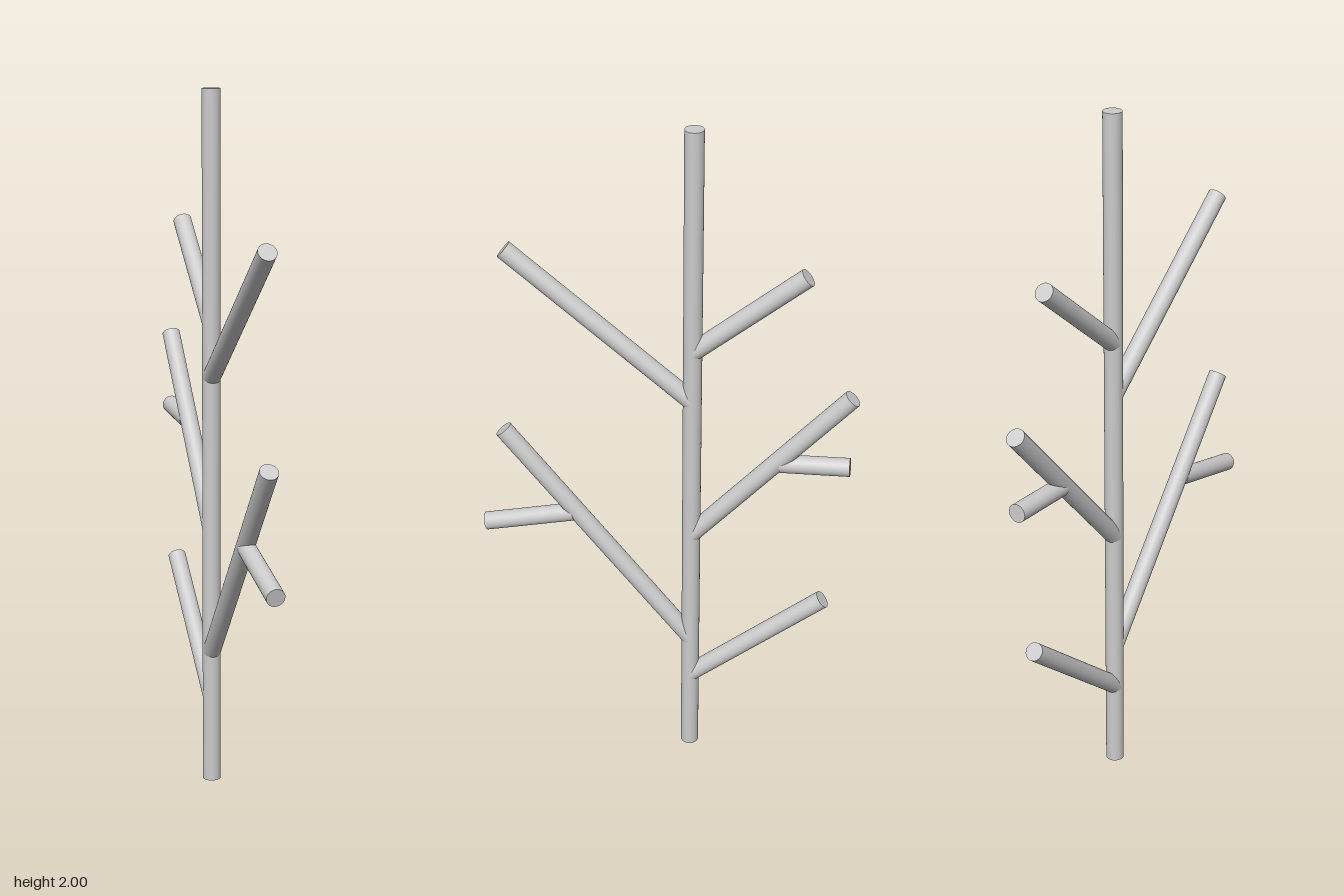
import * as THREE from 'three';

const RADIUS = 0.026;
const TRUNK_Z = -0.073;

// Capped round rod between two [z, y] points in the x = 0 plane
function rod(name, from, to, material) {
  const a = new THREE.Vector3(0, from[1], from[0]);
  const b = new THREE.Vector3(0, to[1], to[0]);
  const dir = b.clone().sub(a);
  const mesh = new THREE.Mesh(new THREE.CylinderGeometry(RADIUS, RADIUS, dir.length(), 32), material);
  mesh.name = name;
  mesh.position.copy(a).add(b).multiplyScalar(0.5);
  mesh.quaternion.setFromUnitVectors(new THREE.Vector3(0, 1, 0), dir.normalize());
  return mesh;
}

export function createModel() {
  const group = new THREE.Group();
  group.name = 'branchingStand';
  const material = new THREE.MeshStandardMaterial({ color: 0xcccccc });

  const rods = [
    ['trunk', [TRUNK_Z, 0], [TRUNK_Z, 2]],
    // Branches leaning forward
    ['frontLowerBranch', [TRUNK_Z, 0.39], [0.464, 1.055]],
    ['frontUpperBranch', [TRUNK_Z, 1.2], [0.44, 1.62]],
    // Branches leaning backward
    ['backLowerBranch', [TRUNK_Z, 0.255], [-0.456, 0.575]],
    ['backMiddleBranch', [TRUNK_Z, 0.76], [-0.511, 1.253]],
    ['backUpperBranch', [TRUNK_Z, 1.355], [-0.377, 1.607]],
    // Short twigs growing from the longer branches
    ['frontTwig', [0.268, 0.797], [0.527, 0.735]],
    ['backTwig', [-0.32, 1.025], [-0.514, 1.033]],
  ];
  for (const [name, from, to] of rods) group.add(rod(name, from, to, material));
  return group;
}
